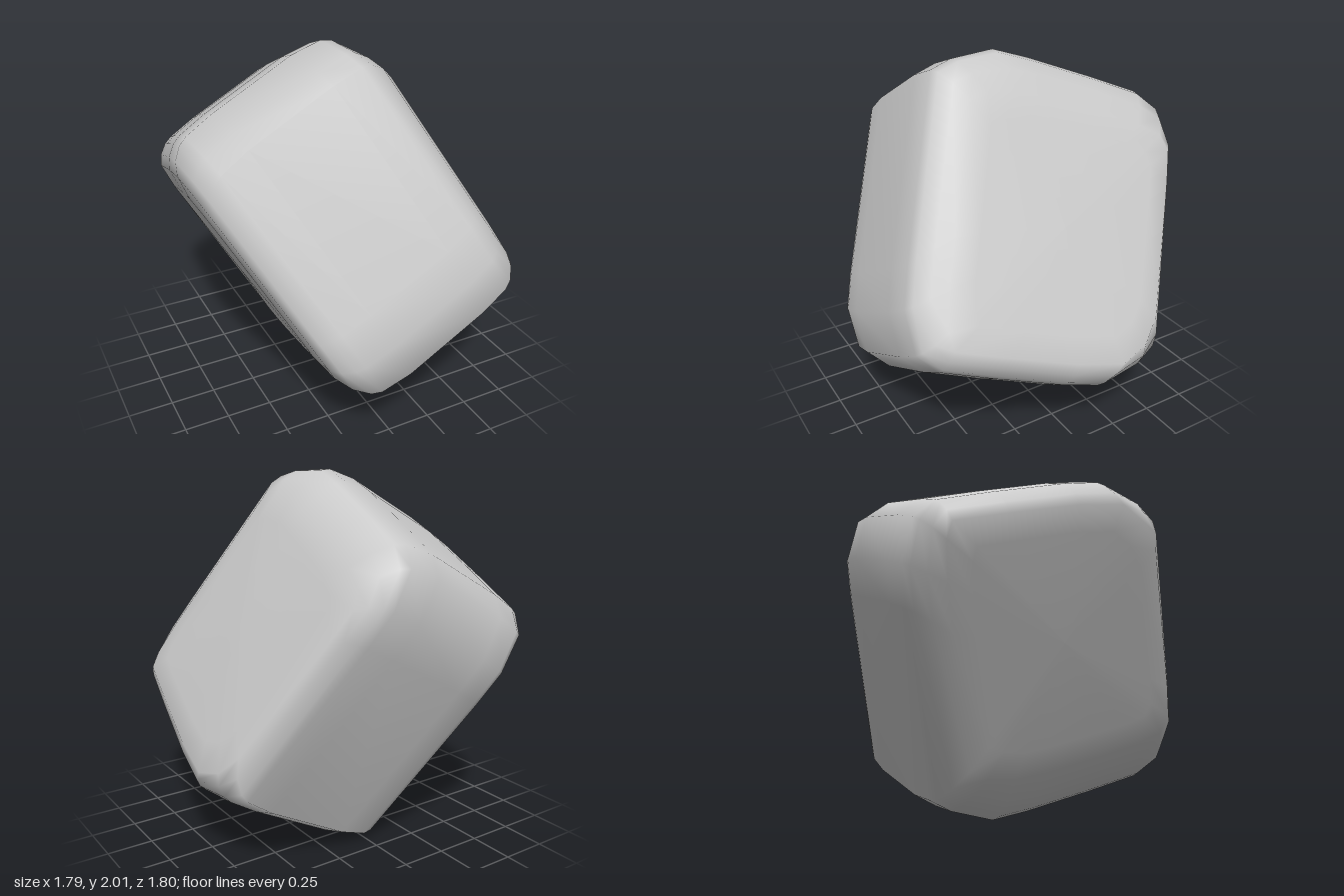
import * as THREE from 'three';

// Half of the block's middle outline; the other half is the same turned by 180 degrees
const HALF = [
  [0.64, -0.745], [0.73, -0.64], [0.85, -0.41], [0.86, -0.2], [0.855, 0.2],
  [0.845, 0.51], [0.78, 0.645], [0.57, 0.735], [0.36, 0.745],
];
const MIDDLE = [...HALF, ...HALF.map(([u, v]) => [-u, -v])];
// Outline of the end face, point for point
const END = [
  [0.45, -0.655], [0.6, -0.6], [0.71, -0.47], [0.735, -0.2], [0.735, 0.2],
  [0.73, 0.5], [0.65, 0.54], [0.45, 0.56], [0.2, 0.56],
  [-0.48, 0.56], [-0.54, 0.47], [-0.58, 0.32], [-0.585, 0.15], [-0.585, -0.2],
  [-0.575, -0.45], [-0.55, -0.6], [-0.47, -0.665], [-0.3, -0.67],
];
const END_CENTRE = [0.06, -0.03];
// Distance from the middle, blend from middle to end outline, size of the end outline
const LAYERS = [
  [0.25, 0, 1], [0.42, 0.1, 1], [0.47, 0.22, 1], [0.53, 0.55, 1],
  [0.568, 1, 1], [0.583, 1, 0.8], [0.588, 1, 0],
];

// One cross-section as [along, across, across] triples
const section = ([t, blend, size]) => MIDDLE.map((mid, j) => [t, ...mid.map((m, k) => {
  const end = END_CENTRE[k] + (END[j][k] - END_CENTRE[k]) * size;
  return m + (end - m) * blend;
})]);

// The opposite side is the same section turned through the centre
function opposite(ring) {
  const half = ring.length / 2;
  return ring.map((_, j) => ring[(j + half) % ring.length].map((k) => -k));
}

// Skins the cross-sections along the tilted axes
function blockGeometry() {
  const side = LAYERS.map(section);
  const rings = [...side.map(opposite).reverse(), ...side];
  const a = new THREE.Vector3(0.88, 0.475, -0.02).normalize();
  const c = new THREE.Vector3(0.45, -0.8, 0.38).cross(a).normalize();
  const b = a.clone().cross(c);

  const n = MIDDLE.length;
  const points = [];
  const index = [];
  rings.forEach((ring, i) => ring.forEach(([t, u, v], j) => {
    points.push(new THREE.Vector3(0, 1, 0)
      .addScaledVector(a, t).addScaledVector(b, u).addScaledVector(c, v));
    if (i === rings.length - 1) return;
    const p = i * n + j;
    const q = i * n + (j + 1) % n;
    index.push(p, p + n, q, q, p + n, q + n);
  }));

  const geometry = new THREE.BufferGeometry().setFromPoints(points);
  geometry.setIndex(index);
  geometry.computeVertexNormals();
  return geometry;
}

export function createModel() {
  const group = new THREE.Group();
  const block = new THREE.Mesh(blockGeometry(), new THREE.MeshStandardMaterial({ color: 0xcccccc }));
  block.name = 'roundedBlock';
  group.add(block);
  return group;
}
